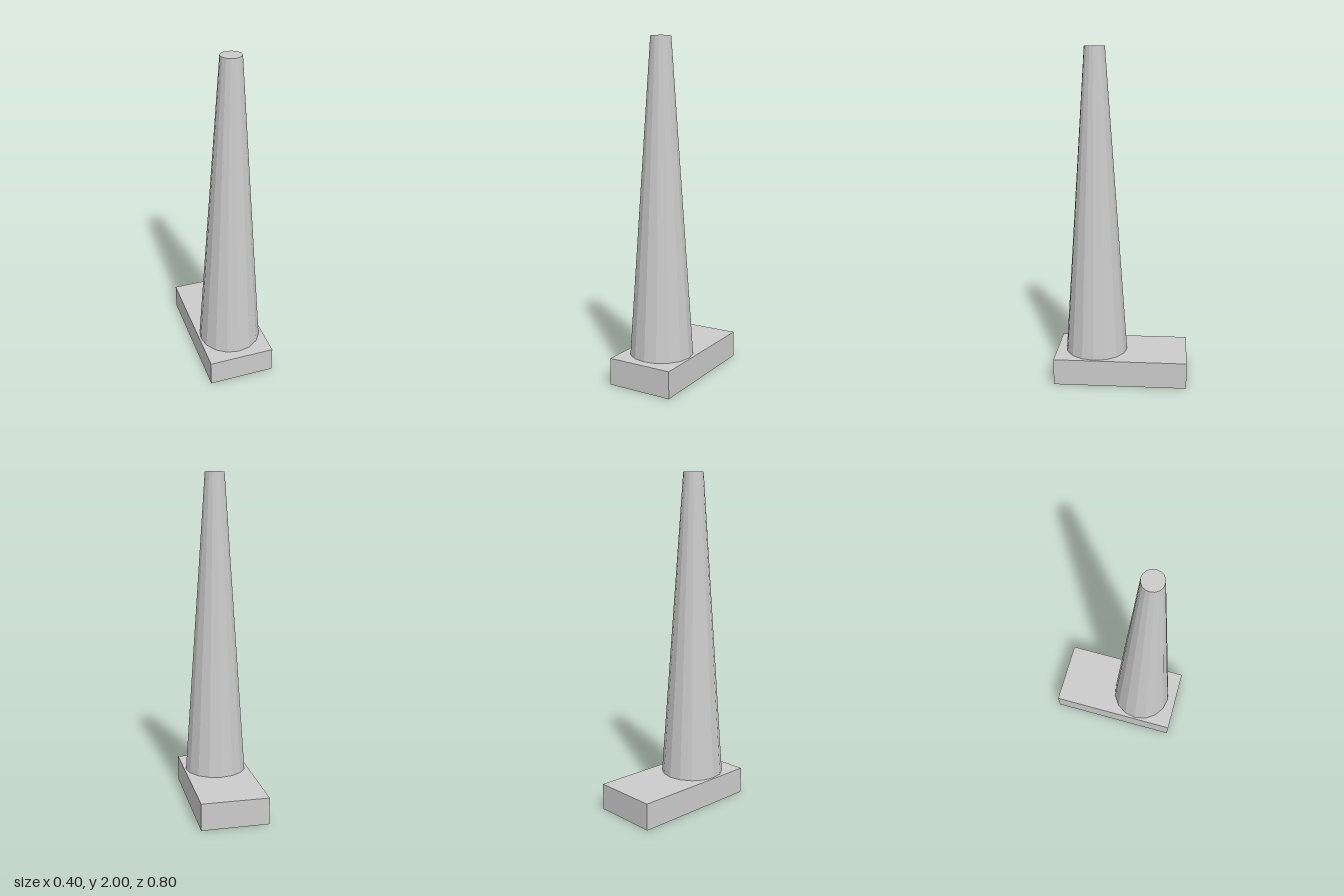
import * as THREE from 'three';

export function createModel() {
  const model = new THREE.Group();
  const material = new THREE.MeshStandardMaterial({ color: 0xcccccc, flatShading: true });

  const addPart = (name, geometry, y, z) => {
    const mesh = new THREE.Mesh(geometry, material);
    mesh.name = name;
    mesh.position.set(0, y, z);
    model.add(mesh);
  };

  // Rectangular plinth
  const baseHeight = 0.16;
  addPart('base', new THREE.BoxGeometry(0.4, baseHeight, 0.8), baseHeight / 2, 0);

  // Tapered 16-sided chimney standing towards the front of the plinth
  const stackHeight = 2 - baseHeight;
  addPart('chimney', new THREE.CylinderGeometry(0.06, 0.189, stackHeight, 16), baseHeight + stackHeight / 2, 0.157);

  return model;
}
